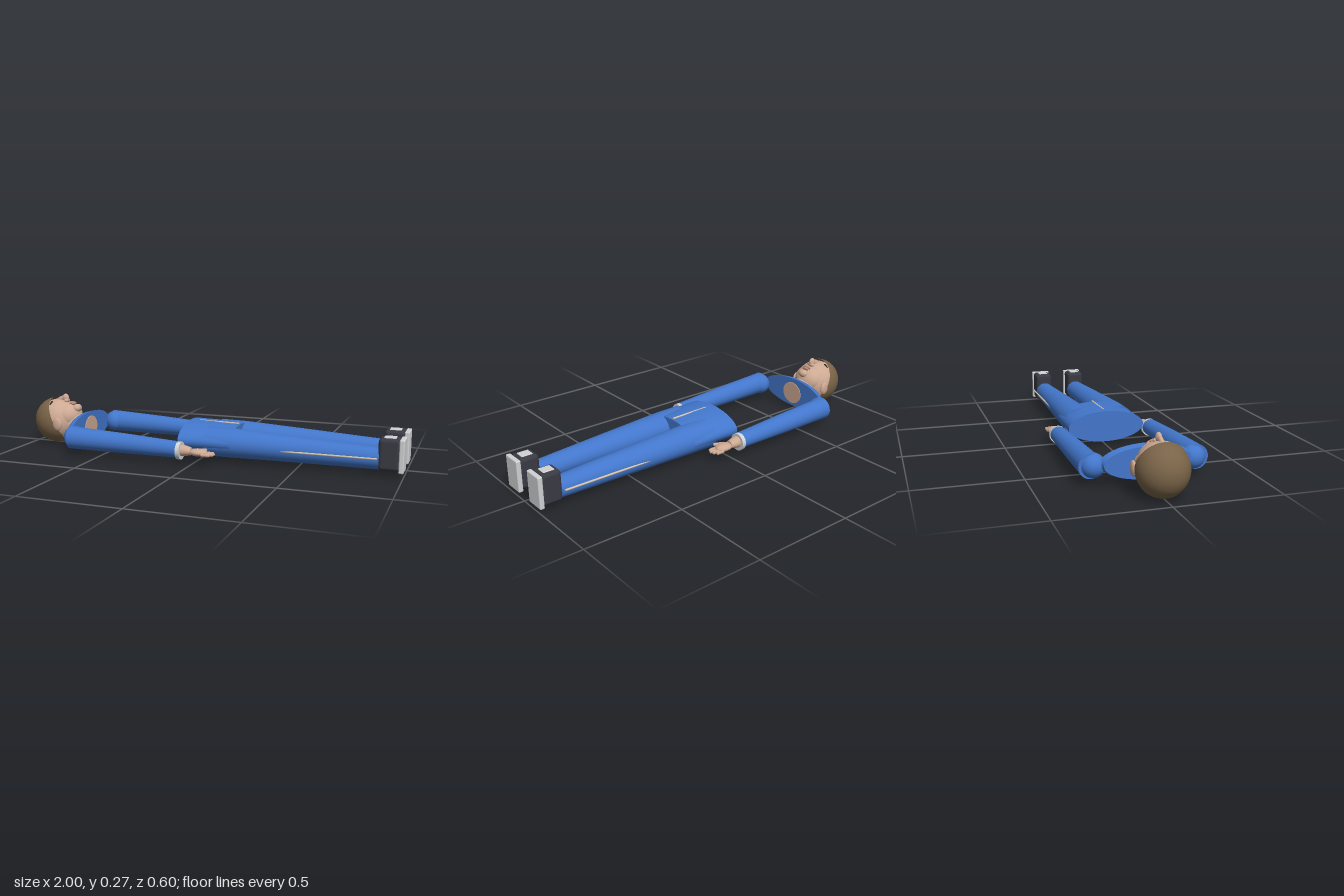
import * as THREE from 'three';
import { RoundedBoxGeometry } from 'three/addons/geometries/RoundedBoxGeometry.js';

const mat = (name, color) => {
  const m = new THREE.MeshStandardMaterial({ color });
  m.name = name;
  return m;
};

// Capped tube along x from elliptical sections [x, y, z, ry, rz]
function loft(sections, n = 40) {
  const pos = [], idx = [];
  const ring = ([x, y, z, ry, rz]) => {
    const start = pos.length / 3;
    for (let j = 0; j < n; j++) {
      const a = (j / n) * Math.PI * 2;
      pos.push(x, y + ry * Math.cos(a), z + rz * Math.sin(a));
    }
    return start;
  };
  sections.forEach(ring);
  for (let i = 0; i < sections.length - 1; i++) {
    for (let j = 0; j < n; j++) {
      const a = i * n + j, b = i * n + ((j + 1) % n);
      idx.push(a, b, a + n, b, b + n, a + n);
    }
  }
  [sections[0], sections[sections.length - 1]].forEach((s, end) => {
    const r = ring(s), c = pos.length / 3;
    pos.push(s[0], s[1], s[2]);
    for (let j = 0; j < n; j++) {
      const a = r + j, b = r + ((j + 1) % n);
      if (end) idx.push(c, a, b); else idx.push(c, b, a);
    }
  });
  const g = new THREE.BufferGeometry();
  g.setAttribute('position', new THREE.Float32BufferAttribute(pos, 3));
  g.setIndex(idx);
  g.computeVertexNormals();
  return g;
}

export function createModel() {
  const model = new THREE.Group();
  model.name = 'lyingFigure';
  const blue = mat('blueCloth', 0x4377cc);
  const skin = mat('skin', 0xcda993);
  const hair = mat('brownHair', 0x7a6448);
  const shoeMat = mat('darkShoe', 0x3a3a44);
  const white = mat('white', 0xd0d2d4);
  const beige = mat('beigeTrim', 0xd0c2ae);
  const dark = mat('darkEye', 0x2a2422);
  const lipMat = mat('lip', 0xb98a78);

  const add = (name, geo, material, p = [0, 0, 0], parent = model) => {
    const m = new THREE.Mesh(geo, material);
    m.name = name;
    m.position.set(...p);
    parent.add(m);
    return m;
  };
  const ball = (name, r, p, material, parent) => {
    const m = add(name, new THREE.SphereGeometry(1, 36, 24), material, p, parent);
    m.scale.set(...r);
    return m;
  };
  const group = (name) => {
    const g = new THREE.Group();
    g.name = name;
    model.add(g);
    return g;
  };

  // Head, face up
  const head = group('head');
  ball('skull', [0.117, 0.115, 0.111], [-0.867, 0.122, 0], skin, head);
  ball('jaw', [0.075, 0.075, 0.085], [-0.812, 0.147, 0], skin, head);
  const cap = add('hair', new THREE.SphereGeometry(0.122, 48, 32, 0, Math.PI * 2, 0, 1.84),
    hair, [-0.878, 0.123, 0], head);
  cap.rotation.z = 2.0;
  cap.scale.z = 0.95;
  cap.material.side = THREE.DoubleSide;
  // Nose: narrow bridge widening to the tip
  ball('noseBridge', [0.035, 0.016, 0.011], [-0.852, 0.236, 0], skin, head).rotation.z = 0.45;
  ball('noseTip', [0.02, 0.025, 0.014], [-0.826, 0.242, 0], skin, head);
  ball('noseWings', [0.012, 0.012, 0.023], [-0.818, 0.231, 0], skin, head);
  ball('upperLip', [0.007, 0.009, 0.027], [-0.788, 0.22, 0], lipMat, head);
  ball('lowerLip', [0.008, 0.009, 0.023], [-0.776, 0.216, 0], lipMat, head);
  ball('chin', [0.022, 0.022, 0.03], [-0.756, 0.193, 0], skin, head);
  for (const s of [1, -1]) {
    ball('eye', [0.006, 0.005, 0.017], [-0.885, 0.221, s * 0.052], dark, head).rotation.x = s * 0.5;
    ball('ear', [0.027, 0.035, 0.012], [-0.82, 0.118, s * 0.108], skin, head);
  }

  // Neck and collar yoke, with the neck showing through below
  add('neck', loft([[-0.82, 0.11, 0, 0.068, 0.072], [-0.74, 0.098, 0, 0.064, 0.07],
    [-0.673, 0.095, 0, 0.06, 0.066]]), skin);
  add('collar', loft([[-0.708, 0.098, 0, 0.074, 0.2], [-0.676, 0.1, 0, 0.08, 0.212]]), blue);

  // Trousers top with front seam
  add('hips', loft([[-0.092, 0.099, 0, 0.078, 0.195], [0.03, 0.098, 0, 0.077, 0.19],
    [0.17, 0.093, 0, 0.073, 0.184]]), blue);
  add('frontSeam', loft([[-0.045, 0.173, 0, 0.005, 0.005], [0.165, 0.17, 0, 0.005, 0.005]], 12), beige);

  for (const s of [1, -1]) {
    const side = s > 0 ? 'left' : 'right';

    // Arm
    const arm = group(side + 'Arm');
    ball('shoulder', [0.056, 0.056, 0.056], [-0.645, 0.088, s * 0.232], blue, arm);
    add('sleeve', loft([[-0.66, 0.088, s * 0.244, 0.057, 0.056], [-0.36, 0.08, s * 0.243, 0.05, 0.05],
      [-0.068, 0.071, s * 0.242, 0.04, 0.041]]), blue, [0, 0, 0], arm);
    add('cuff', loft([[-0.07, 0.067, s * 0.242, 0.044, 0.044], [-0.05, 0.066, s * 0.242, 0.044, 0.044]]),
      white, [0, 0, 0], arm);
    add('wrist', loft([[-0.055, 0.068, s * 0.24, 0.03, 0.031], [-0.02, 0.067, s * 0.24, 0.024, 0.028],
      [0.0, 0.066, s * 0.24, 0.018, 0.022]]), skin, [0, 0, 0], arm);
    ball('palm', [0.047, 0.019, 0.034], [0.035, 0.064, s * 0.239], skin, arm);
    for (let i = 0; i < 4; i++) {
      const len = [0.038, 0.047, 0.044, 0.032][i];
      const f = add('finger', new THREE.CapsuleGeometry(0.0085, len, 6, 12), skin,
        [0.063 + len / 2, 0.058, s * (0.216 + i * 0.0165)], arm);
      f.rotation.z = Math.PI / 2;
    }
    const thumb = add('thumb', new THREE.CapsuleGeometry(0.009, 0.045, 6, 12), skin,
      [0.036, 0.067, s * 0.205], arm);
    thumb.rotation.set(0, s * 0.4, Math.PI / 2);

    // Leg with side stripe
    const leg = group(side + 'Leg');
    add('trouserLeg', loft([[0.04, 0.093, s * 0.102, 0.073, 0.082], [0.17, 0.092, s * 0.101, 0.072, 0.081],
      [0.5, 0.084, s * 0.099, 0.062, 0.067], [0.885, 0.073, s * 0.096, 0.051, 0.05]]), blue, [0, 0, 0], leg);
    add('sideStripe', loft([[0.17, 0.084, s * 0.166, 0.005, 0.005], [0.88, 0.084, s * 0.162, 0.005, 0.005]], 12),
      beige, [0, 0, 0], leg);

    // Shoe, sole at the far end and laces on top
    const shoe = group(side + 'Shoe');
    add('shoeBody', new RoundedBoxGeometry(0.1, 0.152, 0.092, 4, 0.018), shoeMat, [0.93, 0.101, s * 0.098], shoe);
    add('sole', new RoundedBoxGeometry(0.024, 0.158, 0.102, 3, 0.006), white, [0.988, 0.098, s * 0.098], shoe);
    add('laces', new RoundedBoxGeometry(0.056, 0.009, 0.05, 2, 0.003), white, [0.93, 0.1765, s * 0.098], shoe);
  }
  return model;
}
